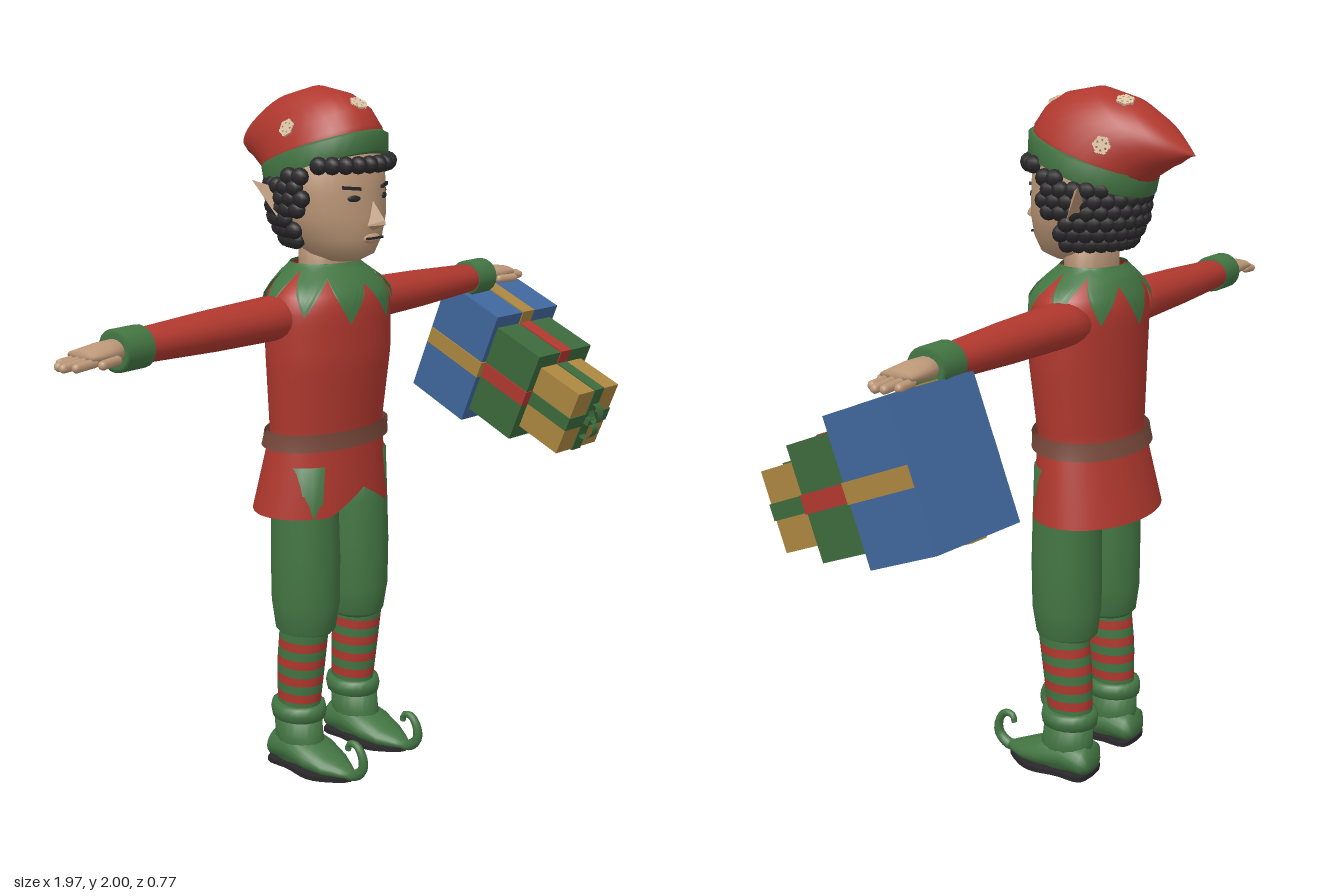
import * as THREE from 'three';
import { mergeGeometries } from 'three/addons/utils/BufferGeometryUtils.js';
import { ConvexGeometry } from 'three/addons/geometries/ConvexGeometry.js';

const mat = (name, color) => new THREE.MeshStandardMaterial({ name, color, side: THREE.DoubleSide });
const V = (x, y, z) => new THREE.Vector3(x, y, z);

// Profiles by height: [y, front z, back z, half width]
const TORSO = [[0.8, 0.07, -0.265, 0.235], [1.03, 0.06, -0.21, 0.195], [1.25, 0.085, -0.215, 0.213], [1.38, 0.085, -0.22, 0.215],
  [1.43, 0.08, -0.215, 0.205], [1.46, 0.06, -0.2, 0.18], [1.49, 0.03, -0.185, 0.135], [1.515, 0, -0.16, 0.1]];
const HEAD = [[1.525, 0.04, -0.07, 0.05], [1.545, 0.08, -0.13, 0.09], [1.59, 0.096, -0.18, 0.125], [1.65, 0.1, -0.205, 0.153],
  [1.72, 0.095, -0.21, 0.16], [1.8, 0.09, -0.21, 0.16], [1.87, 0.05, -0.18, 0.12]];

// Point on a profile at height y and angle a (0 is the front)
function onProfile(profile, y, a, off = 0) {
  let i = 0;
  while (i < profile.length - 2 && y > profile[i + 1][0]) i++;
  const p = profile[i], q = profile[i + 1];
  const t = THREE.MathUtils.clamp((y - p[0]) / (q[0] - p[0]), 0, 1);
  const [zf, zb, w] = [1, 2, 3].map(k => p[k] + (q[k] - p[k]) * t);
  return V(Math.sin(a) * (w + off), y, (zf + zb) / 2 + Math.cos(a) * ((zf - zb) / 2 + off));
}

// Closed-loop surface from a grid of points
function gridGeometry(rows, n, point) {
  const pos = [], index = [];
  for (let i = 0; i <= rows; i++)
    for (let j = 0; j < n; j++) pos.push(...point(i, (j / n) * Math.PI * 2).toArray());
  for (let i = 0; i < rows; i++)
    for (let j = 0; j < n; j++) {
      const a = i * n + j, b = i * n + (j + 1) % n;
      index.push(a, b, b + n, a, b + n, a + n);
    }
  const g = new THREE.BufferGeometry();
  g.setAttribute('position', new THREE.Float32BufferAttribute(pos, 3));
  g.setIndex(index);
  g.computeVertexNormals();
  return g;
}

// Loft through ellipses given as [front z, front y, back z, back y, half width], closed at both ends
function loft(rings, n = 20) {
  const cap = ([fz, fy, bz, by]) => [(fz + bz) / 2, (fy + by) / 2, (fz + bz) / 2, (fy + by) / 2, 0];
  const all = [cap(rings[0]), ...rings, cap(rings[rings.length - 1])];
  return gridGeometry(all.length - 1, n, (i, a) => {
    const [fz, fy, bz, by, w] = all[i], c = Math.cos(a) / 2;
    return V(Math.sin(a) * w, (fy + by) / 2 + (fy - by) * c, (fz + bz) / 2 + (fz - bz) * c);
  });
}
const column = (profile, n) => loft(profile.map(([y, f, b, w]) => [f, y, b, y, w]), n);

// Open skin following a profile between two edge heights
const shell = (profile, bottom, top, off, rows = 8, n = 72) => gridGeometry(rows, n, (i, a) =>
  onProfile(profile, bottom(a) + (top(a) - bottom(a)) * i / rows, a, off));

export function createModel() {
  const red = mat('red', 0xb0382e), green = mat('green', 0x437543), skin = mat('skin', 0xbd9878), black = mat('black', 0x2a282a);
  const brown = mat('brown', 0x7a4a3c), blue = mat('blue', 0x40669c), gold = mat('gold', 0xab8640);
  const giftGreen = mat('gift green', 0x3c6a3c), cream = mat('cream', 0xdcc4a4);
  const model = new THREE.Group(), body = new THREE.Group();
  body.name = 'elf';
  body.position.x = -0.012;
  model.add(body);
  const add = (name, geo, material, parent = body, x = 0, y = 0, z = 0) => {
    const m = new THREE.Mesh(geo, material);
    m.name = name;
    m.position.set(x, y, z);
    parent.add(m);
    return m;
  };

  // Tunic with notched hem, belt and zigzag collar
  const front = a => Math.min(a, Math.PI * 2 - a);
  add('tunic', shell(TORSO, a => 0.8 + 0.07 * Math.max(0, 1 - front(a) / 0.55), () => 1.515, 0, 28), red);
  for (const [off, half] of [[0.016, 0.022], [0.008, 0.026]])
    add('belt', shell(TORSO, a => 1.018 - half + 0.006 * Math.cos(a), a => 1.018 + half + 0.006 * Math.cos(a), off, 2), brown);
  const zigzag = a => Math.abs(((a * 9 / (Math.PI * 2)) % 1) * 2 - 1);
  add('collar', shell(TORSO, a => 1.355 + 0.04 * Math.sin(a) ** 2 + 0.11 * zigzag(a), () => 1.518, 0.009, 12), green);
  add('neck', column([[1.45, 0, -0.145, 0.092], [1.6, 0, -0.145, 0.088]]), skin);

  // Head and face
  add('head', column(HEAD, 32), skin);
  add('nose', new ConvexGeometry([V(0, 1.71, 0.085), V(-0.028, 1.625, 0.085), V(0.028, 1.625, 0.085), V(0, 1.633, 0.143),
    V(0, 1.645, 0.14), V(0, 1.61, 0.088)]), skin);
  add('lips', new THREE.SphereGeometry(1, 12, 8).scale(0.036, 0.014, 0.012), skin, body, 0, 1.592, 0.094);
  add('mouth', new THREE.BoxGeometry(0.066, 0.006, 0.008), black, body, 0, 1.594, 0.104);
  for (const s of [-1, 1]) {
    const eye = add('eye', new THREE.SphereGeometry(1, 12, 8).scale(0.02, 0.009, 0.004), black);
    eye.position.copy(onProfile(HEAD, 1.705, s * 0.42, 0.001));
    eye.rotation.y = s * 0.4;
    const brow = add('eyebrow', new THREE.BoxGeometry(0.055, 0.009, 0.008), black);
    brow.position.copy(onProfile(HEAD, 1.733, s * 0.45, 0.001));
    brow.rotation.set(0, s * 0.42, s * 0.1);
    add('ear', new ConvexGeometry([V(s * 0.14, 1.72, -0.09), V(s * 0.13, 1.61, -0.1), V(s * 0.14, 1.68, -0.14),
      V(s * 0.178, 1.655, -0.1), V(s * 0.186, 1.7, -0.13), V(s * 0.212, 1.752, -0.158)]), skin);
  }

  // Curly hair below the hat band
  const curls = [];
  for (let row = 0; row < 9; row++)
    for (let k = 0; k < 28; k++) {
      const y = 1.585 + row * 0.03, a = (k + (row % 2) / 2) / 28 * Math.PI * 2, c = Math.cos(a);
      const p = onProfile(HEAD, y, a, 0.01);
      const low = c > 0.3 ? 1.775 : c > -0.1 ? 1.65 : 1.58;
      if (y > low && y < 1.825 + (p.z - 0.1) * 0.33)
        curls.push(new THREE.SphereGeometry(0.025, 8, 6).translate(p.x, p.y, p.z));
    }
  add('hair', mergeGeometries(curls), black);

  // Hat, band and snowflakes
  const hat = add('hat', loft([[0.1, 1.85, -0.25, 1.735, 0.158], [0.092, 1.9, -0.275, 1.765, 0.15], [0.06, 1.945, -0.3, 1.78, 0.14],
    [0.0, 1.982, -0.322, 1.793, 0.125], [-0.1, 2.0, -0.345, 1.803, 0.105], [-0.2, 1.975, -0.36, 1.813, 0.078],
    [-0.28, 1.93, -0.372, 1.82, 0.05], [-0.35, 1.87, -0.382, 1.825, 0.02], [-0.39, 1.83, -0.392, 1.826, 0.002]], 32), red);
  add('hatBand', loft([[0.096, 1.828, -0.243, 1.708, 0.155], [0.108, 1.832, -0.255, 1.712, 0.165], [0.108, 1.882, -0.268, 1.766, 0.164],
    [0.096, 1.888, -0.258, 1.772, 0.152]], 32), green);
  const ray = new THREE.Raycaster();
  for (const [from, dir] of [[V(0, 1.955, 1), V(0, 0, -1)], [V(1, 1.855, -0.18), V(-1, 0, 0)],
    [V(-1, 1.89, -0.1), V(1, 0, 0)], [V(0.04, 3, -0.2), V(0, -1, 0)]]) {
    ray.set(from, dir);
    const hit = ray.intersectObject(hat)[0];
    if (!hit) continue;
    const arms = [0, 1, 2].map(i => new THREE.BoxGeometry(0.05, 0.009, 0.008).rotateZ(i * Math.PI / 3));
    const tips = [0, 1, 2, 3, 4, 5].map(i => new THREE.BoxGeometry(0.006, 0.02, 0.008).translate(0.018, 0, 0).rotateZ(i * Math.PI / 3));
    const flake = add('snowflake', mergeGeometries([...arms, ...tips]), cream);
    flake.position.copy(hit.point);
    flake.quaternion.setFromUnitVectors(V(0, 0, 1), hit.face.normal);
  }

  for (const s of [-1, 1]) {
    // Arm built along its own y axis, then turned outwards
    const arm = new THREE.Group();
    arm.name = s > 0 ? 'leftArm' : 'rightArm';
    arm.position.y = 1.375;
    arm.rotation.z = -s * Math.PI / 2;
    body.add(arm);
    add('sleeve', column([[0.13, -0.02, -0.17, 0.06], [0.22, -0.02, -0.17, 0.062], [0.45, -0.025, -0.16, 0.056],
      [0.72, -0.038, -0.145, 0.044]]), red, arm);
    add('cuff', column([[0.7, -0.04, -0.14, 0.045], [0.702, -0.03, -0.15, 0.056], [0.787, -0.03, -0.15, 0.056],
      [0.789, -0.04, -0.14, 0.045]]), green, arm);
    add('palm', column([[0.77, -0.055, -0.125, 0.028], [0.83, -0.04, -0.135, 0.026], [0.9, -0.038, -0.135, 0.016]]), skin, arm, -s * 0.004);
    for (let i = 0; i < 4; i++) {
      const len = [0.055, 0.075, 0.07, 0.045][i];
      const finger = add('finger', new THREE.CapsuleGeometry(0.0125, len, 4, 8), skin, arm, s * 0.01, 0.888 + len / 2, -0.05 - i * 0.024);
      finger.rotation.z = -s * 0.06;
    }
    add('thumb', new THREE.CapsuleGeometry(0.013, 0.06, 4, 8).rotateX(0.25), skin, arm, s * 0.012, 0.85, -0.035);

    // Trousers and striped stockings
    const leg = new THREE.Group();
    leg.name = s > 0 ? 'leftLeg' : 'rightLeg';
    body.add(leg);
    add('trouserLeg', column([[0.425, 0.015, -0.14, 0.068], [0.44, 0.03, -0.155, 0.085], [0.52, 0.042, -0.165, 0.097],
      [0.66, 0.043, -0.165, 0.1], [0.8, 0.04, -0.165, 0.094], [0.95, 0.035, -0.17, 0.09]]), green, leg, s * 0.112);
    const SOCK = [[0.18, -0.012, -0.15, 0.056], [0.32, 0.005, -0.148, 0.064], [0.44, 0.02, -0.135, 0.066]];
    for (let i = 0; i < 9; i++)
      add('stockingStripe', shell(SOCK, () => 0.185 + i * 0.028, () => 0.213 + i * 0.028, 0, 1, 20), i % 2 ? red : green, leg, s * 0.124);

    // Boot with curled toe
    const bx = s * 0.13;
    add('bootCuff', column([[0.152, -0.01, -0.15, 0.06], [0.155, 0.004, -0.164, 0.074], [0.178, 0.008, -0.168, 0.078],
      [0.198, 0.004, -0.164, 0.074], [0.2, -0.01, -0.15, 0.06]]), green, leg, s * 0.126);
    add('bootAnkle', column([[0.03, 0.03, -0.16, 0.07], [0.1, 0.005, -0.155, 0.062], [0.17, -0.003, -0.157, 0.062]]), green, leg, bx);
    add('bootFoot', loft([[-0.165, 0.02, 0.06, 0.04], [-0.15, 0.004, 0.1, 0.064], [-0.08, 0.004, 0.12, 0.07], [0, 0.004, 0.092, 0.075],
      [0.06, 0.004, 0.065, 0.06], [0.11, 0.008, 0.045, 0.032], [0.13, 0.01, 0.036, 0.018]]
      .map(([z, lo, hi, w]) => [z, lo, z, hi, w])), green, leg, bx);
    const path = new THREE.CatmullRomCurve3([[0.08, 0.032], [0.135, 0.022], [0.172, 0.05], [0.174, 0.09], [0.15, 0.124],
      [0.122, 0.12], [0.118, 0.1]].map(([z, y]) => V(0, y, z)));
    const curl = new THREE.TubeGeometry(path, 20, 0.02, 8);
    const cp = curl.attributes.position, v = V(0, 0, 0);
    for (let i = 0; i < cp.count; i++) {
      const t = Math.floor(i / 9) / 20;
      v.fromBufferAttribute(cp, i).lerp(path.getPointAt(t), t * 0.55);
      cp.setXYZ(i, v.x, v.y, v.z);
    }
    add('toeCurl', curl, green, leg, bx);
    const half = [[0, -0.165], [0.06, -0.15], [0.062, -0.07], [0.075, 0.01], [0.055, 0.07], [0, 0.13]];
    const outline = new THREE.Shape(new THREE.SplineCurve([...half, ...half.slice(1, -1).reverse().map(([x, z]) => [-x, z]), half[0]]
      .map(([x, z]) => new THREE.Vector2(x, -z))).getPoints(32));
    add('sole', new THREE.ExtrudeGeometry(outline, { depth: 0.014, bevelEnabled: false }).rotateX(-Math.PI / 2), black, leg, bx);
  }

  // Stack of wrapped gifts hanging from the left hand
  const gifts = new THREE.Group();
  gifts.name = 'gifts';
  gifts.position.set(0.82, 1.135, -0.103);
  gifts.rotation.set(0.385, -0.09, 0.04);
  model.add(gifts);
  for (const [name, w, h, d, z, paper, ribbon, band] of [['large', 0.3, 0.388, 0.235, 0, blue, gold, 0.055],
    ['medium', 0.26, 0.307, 0.19, 0.208, giftGreen, red, 0.05], ['small', 0.2, 0.22, 0.165, 0.384, gold, giftGreen, 0.045]]) {
    add(name + 'Gift', new THREE.BoxGeometry(w, h, d), paper, gifts, 0, 0, z);
    // Ribbons wrap the sides and the front, leaving the back plain
    add(name + 'RibbonAcross', new THREE.BoxGeometry(w + 0.008, band, d), ribbon, gifts, 0, 0, z + 0.003);
    add(name + 'RibbonUpright', new THREE.BoxGeometry(band, h + 0.008, d), ribbon, gifts, 0, 0, z + 0.003);
  }
  for (const s of [-1, 1]) {
    const loop = add('bowLoop', new THREE.CylinderGeometry(0.026, 0.026, 0.03, 12, 1, true).rotateZ(Math.PI / 2).scale(1, 1.2, 0.7),
      giftGreen, gifts, 0, s * 0.034, 0.488);
    loop.rotation.x = -s * 0.5;
  }
  add('bowKnot', new THREE.BoxGeometry(0.034, 0.024, 0.02), giftGreen, gifts, 0, 0, 0.476);
  return model;
}
